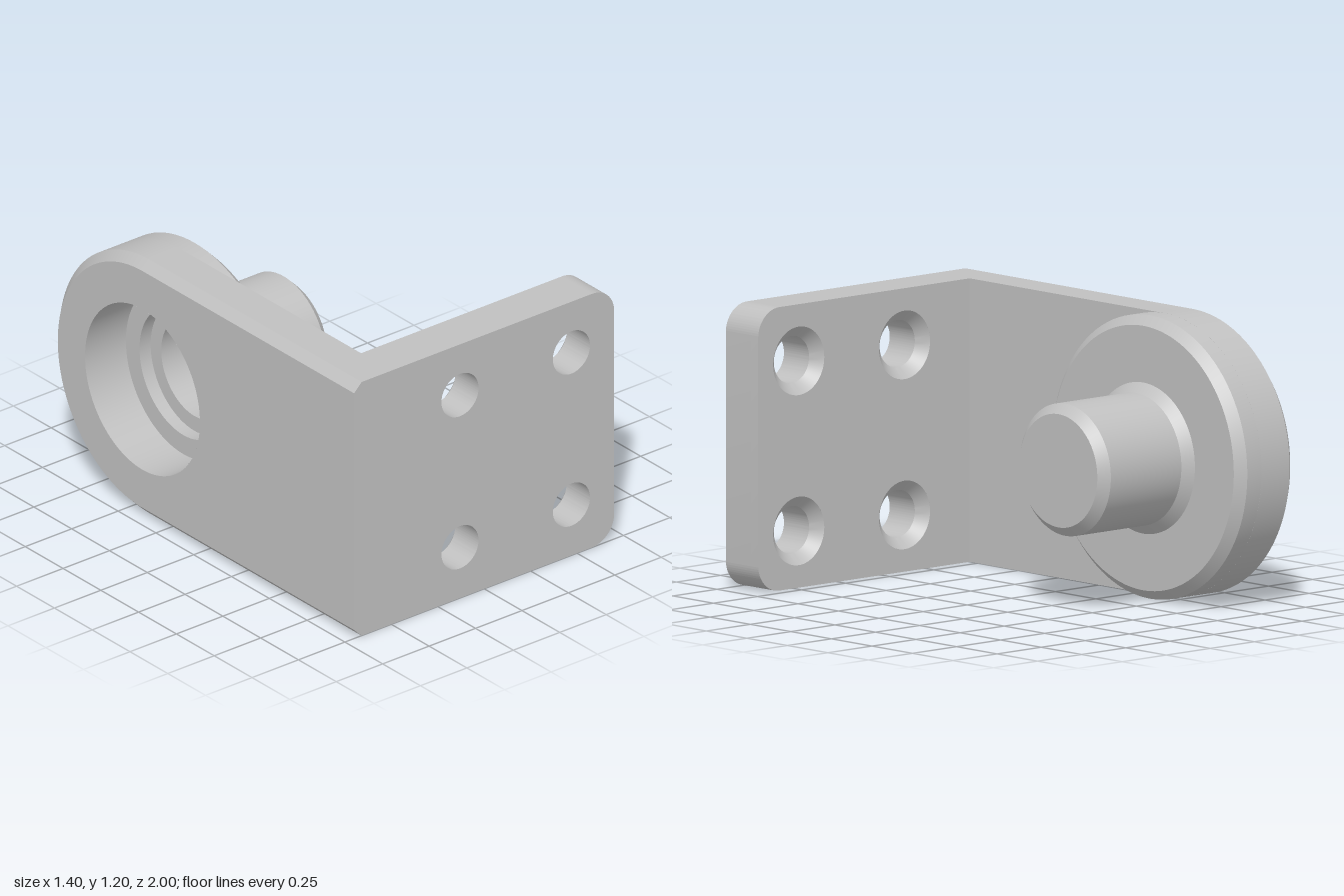
import * as THREE from 'three';
import { toCreasedNormals } from 'three/addons/utils/BufferGeometryUtils.js';

const CREASE = 0.6;
const SEG = 64;

// circular hole path
function hole(x, y, r) {
  return new THREE.Path().absarc(x, y, r, 0, Math.PI * 2, true);
}

// side plate outline: straight to the front, half round at the back
function armShape(r) {
  const s = new THREE.Shape();
  s.moveTo(0.8, 0.6 - r);
  s.lineTo(0.8, 0.6 + r);
  s.lineTo(-0.4, 0.6 + r);
  s.absarc(-0.4, 0.6, r, Math.PI / 2, Math.PI * 1.5, false);
  s.closePath();
  return s;
}

// mounting plate outline: small chamfers on one side, rounded corners on the other
function plateShape() {
  const s = new THREE.Shape();
  s.moveTo(-0.66, 0);
  s.lineTo(0.58, 0);
  s.absarc(0.58, 0.12, 0.12, -Math.PI / 2, 0, false);
  s.lineTo(0.7, 1.08);
  s.absarc(0.58, 1.08, 0.12, 0, Math.PI / 2, false);
  s.lineTo(-0.66, 1.2);
  s.lineTo(-0.7, 1.16);
  s.lineTo(-0.7, 0.04);
  s.closePath();
  return s;
}

// ruled band joining two matching outlines at two depths
function band(a, za, b, zb) {
  const pos = [];
  for (let i = 0; i < a.length - 1; i++) {
    const p = [a[i].x, a[i].y, za], q = [a[i + 1].x, a[i + 1].y, za];
    const r = [b[i].x, b[i].y, zb], t = [b[i + 1].x, b[i + 1].y, zb];
    pos.push(...p, ...q, ...t, ...p, ...t, ...r);
  }
  const g = new THREE.BufferGeometry();
  g.setAttribute('position', new THREE.Float32BufferAttribute(pos, 3));
  g.computeVertexNormals();
  return g;
}

export function createModel() {
  const model = new THREE.Group();
  const steel = new THREE.MeshStandardMaterial({ color: 0xc0c0c0, side: THREE.DoubleSide });
  steel.name = 'steel grey';

  function add(parent, name, geometry) {
    const mesh = new THREE.Mesh(toCreasedNormals(geometry, CREASE), steel);
    mesh.name = name;
    parent.add(mesh);
    return mesh;
  }
  const extrude = (shape, depth) =>
    new THREE.ExtrudeGeometry(shape, { depth, bevelEnabled: false, curveSegments: SEG });

  // turned part about the x axis through the round end; profile is [radius, x]
  function turned(name, profile) {
    const g = new THREE.LatheGeometry(profile.map(([r, x]) => new THREE.Vector2(r, x)), 96);
    g.rotateZ(-Math.PI / 2);
    add(model, name, g).position.set(0, 0.6, -0.4);
  }

  // mounting plate in two layers, the rear one opened out for the countersinks
  const holes = [];
  for (const x of [-0.13, 0.47]) for (const y of [0.24, 0.96]) holes.push([x, y]);
  for (const [name, z, depth, r] of [
    ['mountingPlateFront', 0.845, 0.155, 0.1],
    ['mountingPlateBack', 0.8, 0.045, 0.145],
  ]) {
    const shape = plateShape();
    for (const [x, y] of holes) shape.holes.push(hole(x, y, r));
    add(model, name, extrude(shape, depth)).position.z = z;
  }
  for (const [x, y] of holes) {
    const cone = new THREE.CylinderGeometry(0.1, 0.145, 0.045, SEG, 1, true);
    cone.rotateX(Math.PI / 2);
    // faces turned inwards
    const idx = cone.index.array;
    for (let i = 0; i < idx.length; i += 3) [idx[i], idx[i + 1]] = [idx[i + 1], idx[i]];
    cone.computeVertexNormals();
    add(model, 'countersink', cone).position.set(x, y, 0.8225);
  }

  // side arm, with a chamfer around its outer face
  const arm = new THREE.Group();
  arm.name = 'sideArm';
  arm.rotation.y = -Math.PI / 2;
  arm.position.x = -0.5;
  model.add(arm);
  const full = armShape(0.6), inset = armShape(0.56);
  add(arm, 'armChamfer', band(full.getPoints(SEG), 0.16, inset.getPoints(SEG), 0.2).scale(1, 1, 1));
  full.holes.push(hole(-0.4, 0.6, 0.385));
  inset.holes.push(hole(-0.4, 0.6, 0.38));
  add(arm, 'armBody', extrude(full, 0.16));
  add(arm, 'armOuterFace', new THREE.ShapeGeometry(inset, SEG)).position.z = 0.2;

  // round boss and its stub shaft
  turned('bossAndShaft', [
    [0.6, -0.5], [0.6, -0.42], [0.56, -0.38], [0.32, -0.38], [0.28, -0.34],
    [0.28, 0.06], [0.24, 0.1], [0, 0.1],
  ]);

  // stepped bore entering from the outer face
  turned('steppedBore', [
    [0, -0.02], [0.22, -0.02], [0.22, -0.42], [0.29, -0.42],
    [0.29, -0.48], [0.38, -0.48], [0.38, -0.7],
  ]);

  return model;
}
